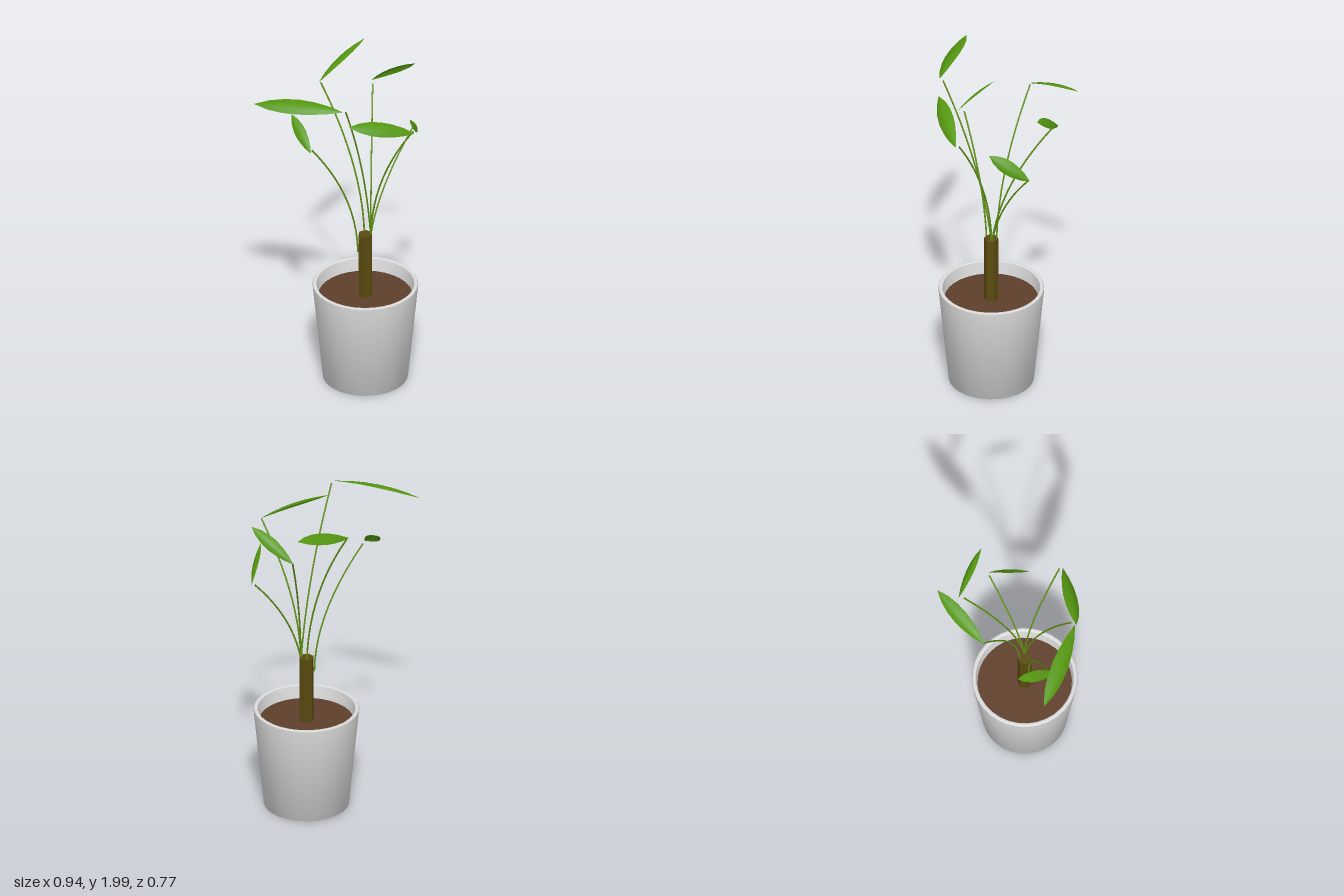
import * as THREE from 'three';

const mat = (name, color, side = THREE.FrontSide) => {
  const m = new THREE.MeshStandardMaterial({ color, side });
  m.name = name;
  return m;
};
const V = (a) => new THREE.Vector3(...a);

// Leaf: a lens-shaped blade from base to tip, domed across and arched along its facing direction
function leafGeometry(base, tip, facing, width) {
  const start = V(base);
  const axis = V(tip).sub(start);
  const length = axis.length();
  const dir = axis.clone().normalize();
  const across = dir.clone().cross(V(facing)).normalize();
  const normal = across.clone().cross(dir).normalize();
  const outline = [0.06, 0.55, 0.85, 1, 0.92, 0.62, 0];
  const columns = [-1, -0.5, 0, 0.5, 1];
  const rows = outline.length - 1;
  const positions = [];
  const index = [];
  outline.forEach((w, i) => {
    const t = i / rows;
    const arch = 0.055 * length * 4 * t * (1 - t);
    for (const c of columns) {
      const p = start.clone()
        .addScaledVector(dir, t * length)
        .addScaledVector(across, c * w * width / 2)
        .addScaledVector(normal, arch - 0.18 * width * w * c * c);
      positions.push(p.x, p.y, p.z);
    }
  });
  const n = columns.length;
  for (let i = 0; i < rows; i++) {
    for (let j = 0; j < n - 1; j++) {
      const a = i * n + j;
      index.push(a, a + n, a + 1);
      if (i < rows - 1) index.push(a + 1, a + n, a + n + 1);
    }
  }
  const g = new THREE.BufferGeometry();
  g.setAttribute('position', new THREE.Float32BufferAttribute(positions, 3));
  g.setIndex(index);
  g.computeVertexNormals();
  // make the front side look along the facing direction
  const first = new THREE.Vector3().fromBufferAttribute(g.attributes.normal, 3 * n + 2);
  if (first.dot(normal) < 0) {
    g.setIndex(index.map((_, k) => index[k - (k % 3) + 2 - (k % 3)]));
    g.computeVertexNormals();
  }
  return g;
}

export function createModel() {
  const plant = new THREE.Group();
  plant.name = 'pottedPlant';
  const potWhite = mat('potWhite', 0xdedede);
  const soilBrown = mat('soilBrown', 0x5f3f2b);
  const barkBrown = mat('barkBrown', 0x5a4a10);
  const stemGreen = mat('stemGreen', 0x629414);
  const leafGreen = mat('leafGreen', 0x559810, THREE.DoubleSide);

  const add = (name, geometry, material, x = 0, y = 0, z = 0) => {
    const mesh = new THREE.Mesh(geometry, material);
    mesh.name = name;
    mesh.position.set(x, y, z);
    plant.add(mesh);
    return mesh;
  };
  const cx = 0.053, cz = 0.037;

  // Pot with a softly shaded rim and open top
  const profile = [[0, 0], [0.25, 0], [0.31, 0.615], [0.305, 0.622], [0.289, 0.622], [0.284, 0.615], [0.272, 0.5]];
  add('pot', new THREE.LatheGeometry(profile.map((p) => new THREE.Vector2(...p)), 32), potWhite, cx, 0, cz);

  // Soil
  add('soil', new THREE.CircleGeometry(0.28, 32).rotateX(-Math.PI / 2), soilBrown, cx, 0.54, cz);

  // Six-sided trunk
  const trunk = new THREE.CylinderGeometry(0.043, 0.043, 0.455, 6).toNonIndexed();
  trunk.computeVertexNormals();
  add('trunk', trunk, barkBrown, cx, 0.7275, cz);

  // Stems with their leaves; bend 1 makes a stem leave the trunk straight up
  const branches = [
    { from: [0.075, 0.94, 0.015], to: [0.075, 1.86, -0.3], bend: 0.9,
      base: [0.068, 1.865, -0.305], tip: [0.47, 1.98, -0.265], facing: [-0.2, 0.83, -0.5], width: 0.09 },
    { from: [0.075, 0.94, 0.06], to: [0.375, 1.76, -0.14], bend: 0.75,
      base: [0.395, 1.77, -0.16], tip: [0.455, 1.945, 0.11], facing: [0.61, 0.58, -0.52], width: 0.075 },
    { from: [0.075, 0.94, 0.06], to: [0.41, 1.54, 0.125], bend: 0.65,
      base: [0.42, 1.54, 0.14], tip: [0.21, 1.69, 0.255], facing: [0.66, 0.43, 0.62], width: 0.085 },
    { from: [0.075, 0.94, 0.06], to: [0.075, 1.76, 0.37], bend: 0.92,
      base: [0.06, 1.755, 0.383], tip: [-0.26, 1.865, 0.14], facing: [-0.19, 0.8, 0.59], width: 0.1 },
    { from: [0.075, 0.94, 0.06], to: [-0.25, 1.96, 0.11], bend: 0.6,
      base: [-0.277, 1.965, 0.105], tip: [-0.472, 1.945, -0.39], facing: [-0.45, 0.88, 0.1], width: 0.105 },
    { from: [0.005, 0.85, 0.018], to: [-0.273, 1.63, -0.117], bend: 0.95,
      base: [-0.305, 1.63, -0.1], tip: [-0.2, 1.77, -0.313], facing: [-0.745, 0.67, 0.07], width: 0.07 },
  ];
  branches.forEach((b, i) => {
    const from = V(b.from), to = V(b.to);
    const mid = from.clone().lerp(to, 0.5);
    const upright = new THREE.Vector3(from.x, mid.y, from.z);
    const curve = new THREE.QuadraticBezierCurve3(from, mid.lerp(upright, b.bend), to);
    add(`stem${i + 1}`, new THREE.TubeGeometry(curve, 12, 0.005, 6), stemGreen);
    add(`leaf${i + 1}`, leafGeometry(b.base, b.tip, b.facing, b.width), leafGreen);
  });
  return plant;
}
